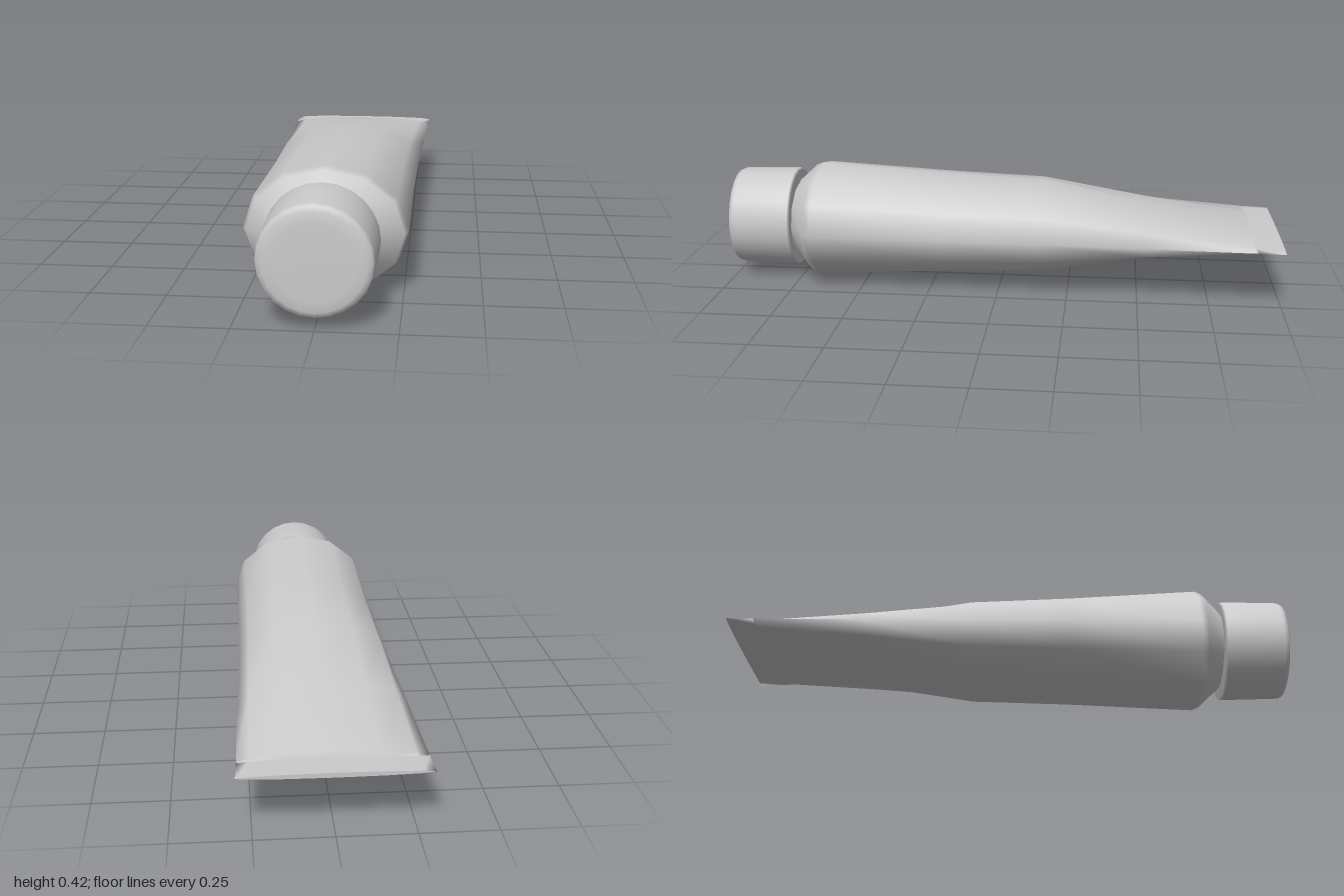
import * as THREE from 'three';

const SIDES = 12;
const MID = 0.21; // height of the tube's axis

// Smooth skin through elliptical rings [z, half width, half height], listed front to back
function loft(name, rings, material) {
  const pos = [], index = [];
  for (const [z, rx, ry] of rings) {
    for (let j = 0; j < SIDES; j++) {
      const a = (j / SIDES) * Math.PI * 2;
      pos.push(rx * Math.cos(a), MID + ry * Math.sin(a), z);
    }
  }
  for (let i = 0; i < rings.length - 1; i++) {
    for (let j = 0; j < SIDES; j++) {
      const k = (j + 1) % SIDES;
      const a = i * SIDES + j, b = i * SIDES + k;
      const c = a + SIDES, d = b + SIDES;
      index.push(a, c, b, b, c, d);
    }
  }
  const geometry = new THREE.BufferGeometry();
  geometry.setAttribute('position', new THREE.Float32BufferAttribute(pos, 3));
  geometry.setIndex(index);
  geometry.computeVertexNormals();
  const mesh = new THREE.Mesh(geometry, material);
  mesh.name = name;
  return mesh;
}

// Round part turned around the tube's axis; profile points are [radius, z], back to front
function turned(name, profile, segments, material) {
  const points = profile.map(([r, z]) => new THREE.Vector2(r, z));
  const mesh = new THREE.Mesh(new THREE.LatheGeometry(points, segments), material);
  mesh.rotation.x = Math.PI / 2;
  mesh.position.y = MID;
  mesh.name = name;
  return mesh;
}

export function createModel() {
  const group = new THREE.Group();
  group.name = 'squeezeTube';
  const grey = new THREE.MeshStandardMaterial({ color: 0xcccccc, side: THREE.DoubleSide });

  // Body: shoulder, round belly, then flattening and widening to the tail
  group.add(loft('tubeBody', [
    [0.76, 0.165, 0.14],
    [0.695, 0.252, 0.2],
    [0.67, 0.264, 0.21],
    [0.2, 0.264, 0.18],
    [-0.15, 0.27, 0.163],
    [-0.53, 0.282, 0.085],
    [-0.9, 0.292, 0.025],
    [-0.905, 0.292, 0.008],
  ], grey));

  // Flat sealed strip at the tail
  group.add(loft('crimpedSeal', [[-0.9, 0.292, 0.008], [-1, 0.297, 0.008]], grey));
  group.add(loft('sealEnd', [[-1, 0.297, 0.008], [-1, 0, 0]], grey));

  // Neck joining shoulder and cap
  group.add(turned('neck', [[0.12, 0.74], [0.12, 0.78]], 24, grey));

  // Screw cap with softened rims
  group.add(turned('cap', [
    [0, 0.763], [0.176, 0.763], [0.182, 0.772], [0.181, 0.85],
    [0.178, 0.975], [0.172, 0.99], [0.155, 0.996], [0.12, 1], [0, 1],
  ], 24, grey));

  return group;
}
